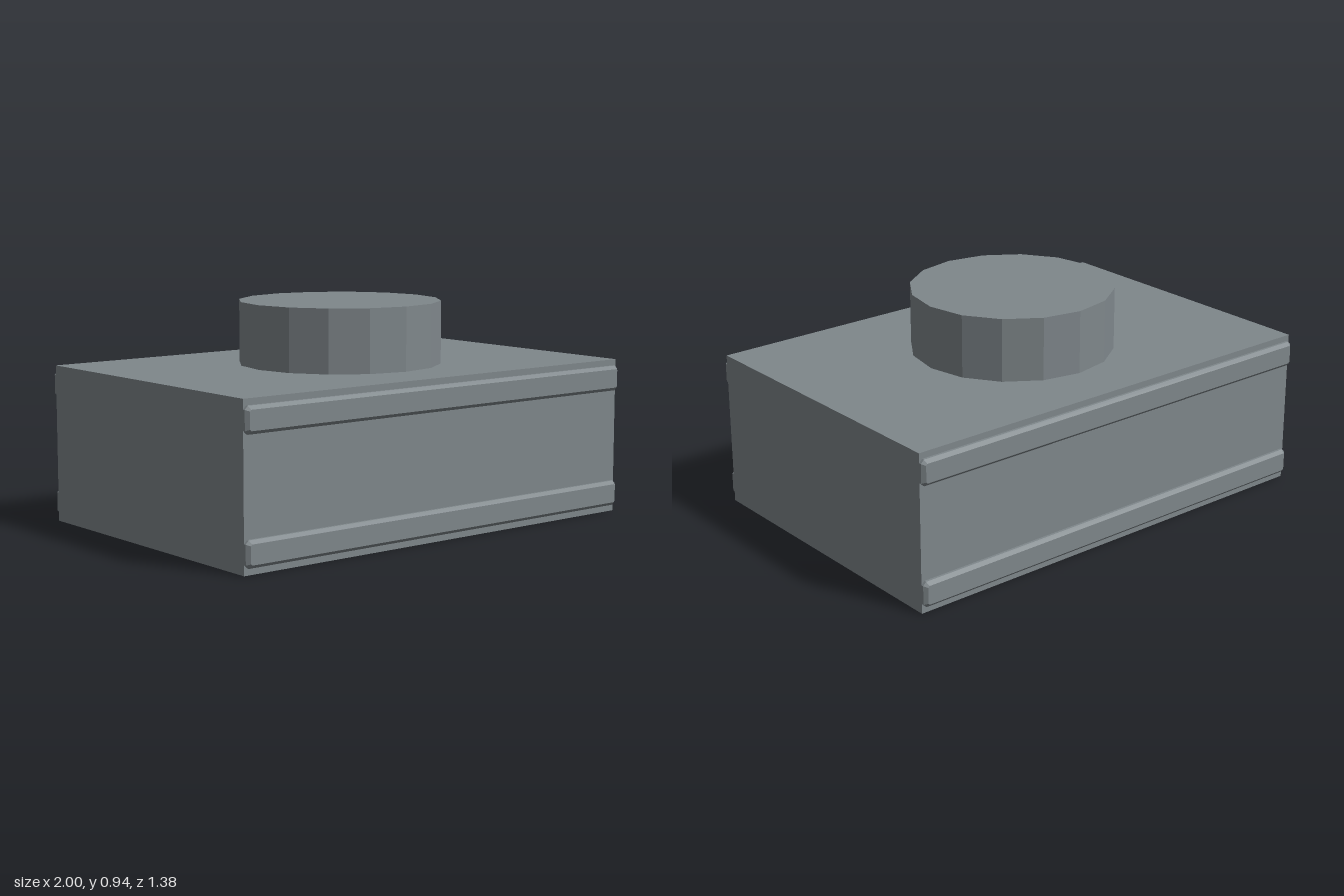
import * as THREE from 'three';

const WIDTH = 2, HEIGHT = 0.667, DEPTH = 1.333;
const RAIL_HEIGHT = 0.108, RAIL_OUT = 0.691, BEVEL = 0.014;

// Rail with clipped corners and a single flat bevel around its outer face
function railGeometry() {
  const x = WIDTH / 2 - BEVEL, y = RAIL_HEIGHT / 2 - BEVEL, c = 0.006;
  const outline = new THREE.Shape([
    [-x + c, -y], [x - c, -y], [x, -y + c], [x, y - c],
    [x - c, y], [-x + c, y], [-x, y - c], [-x, -y + c],
  ].map(([px, py]) => new THREE.Vector2(px, py)));
  const geometry = new THREE.ExtrudeGeometry(outline, {
    depth: 0.04, bevelEnabled: true, bevelSegments: 1,
    bevelSize: BEVEL, bevelThickness: BEVEL,
  });
  geometry.translate(0, 0, RAIL_OUT - 0.04 - BEVEL);
  return geometry;
}

export function createModel() {
  const model = new THREE.Group();
  const grey = new THREE.MeshStandardMaterial({ color: 0x7f878b, flatShading: true });
  grey.name = 'slate grey';

  const add = (name, geometry, y) => {
    const mesh = new THREE.Mesh(geometry, grey);
    mesh.name = name;
    mesh.position.y = y;
    model.add(mesh);
    return mesh;
  };

  // Main block
  add('body', new THREE.BoxGeometry(WIDTH, HEIGHT, DEPTH), HEIGHT / 2);

  // Sixteen-sided cap standing on the block
  add('cap', new THREE.CylinderGeometry(0.432, 0.432, 0.268, 16), HEIGHT + 0.134);

  // Two rails along the front and two along the back
  const rail = railGeometry();
  for (const [level, y] of [['lower', 0.082], ['upper', 0.587]]) {
    add(level + 'FrontRail', rail, y);
    add(level + 'BackRail', rail, y).rotation.y = Math.PI;
  }
  return model;
}
